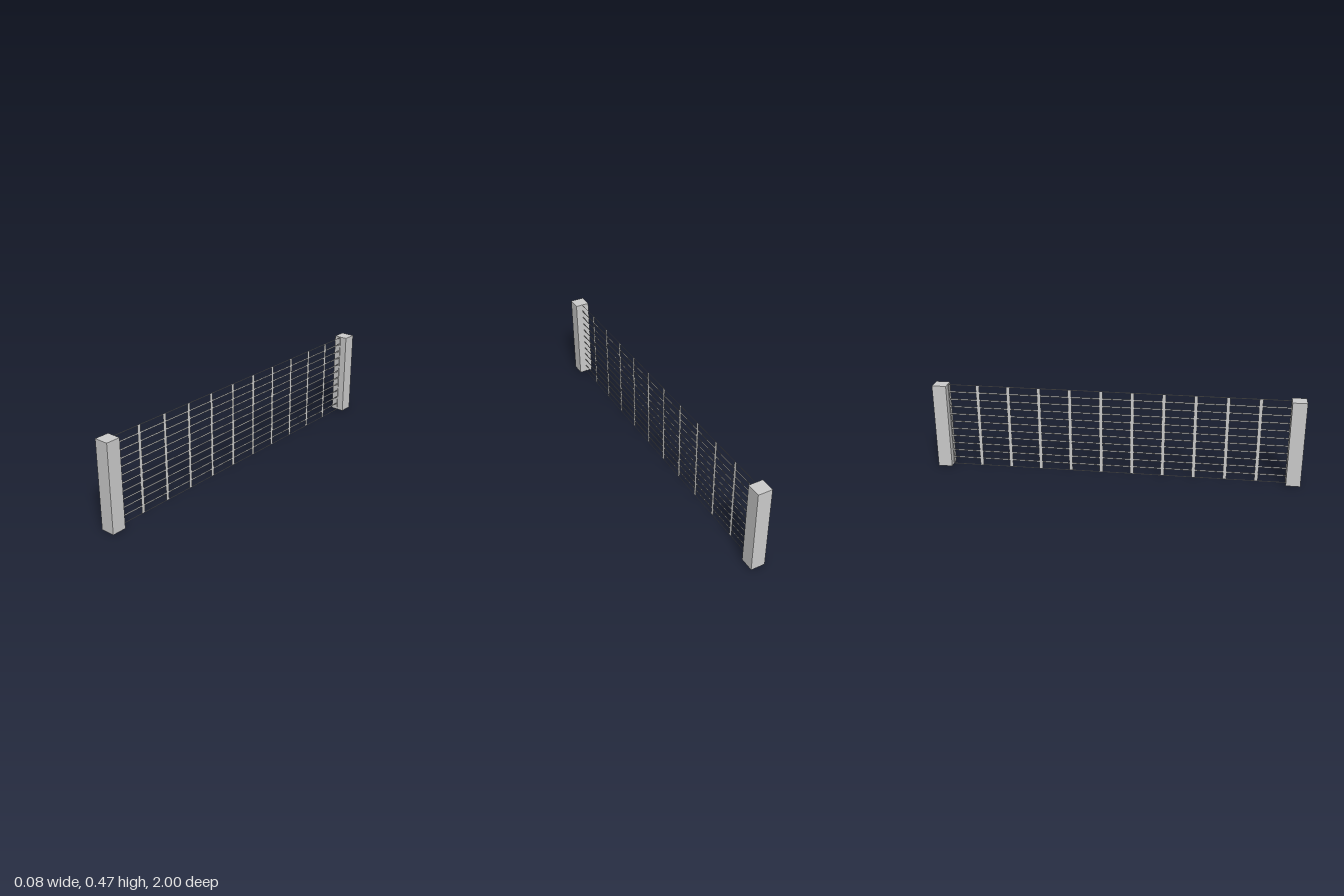
import * as THREE from 'three';

const HEIGHT = 0.475, POST = 0.077, SPAN = 2 - 2 * POST;
const solid = new THREE.MeshStandardMaterial({ color: 0xcccccc, flatShading: true });
const sheet = new THREE.MeshStandardMaterial({ color: 0xcccccc, side: THREE.DoubleSide });

// Flat strip in the x = 0 plane
function strip(name, length, height, y, z) {
  const mesh = new THREE.Mesh(new THREE.PlaneGeometry(length, height).rotateY(Math.PI / 2), sheet);
  mesh.name = name;
  mesh.position.set(0, y, z);
  return mesh;
}

export function createModel() {
  const fence = new THREE.Group();
  fence.name = 'wireFence';

  // Square end posts
  for (const side of [1, -1]) {
    const post = new THREE.Mesh(new THREE.BoxGeometry(POST, HEIGHT, POST), solid);
    post.name = side > 0 ? 'frontPost' : 'backPost';
    post.position.set(0, HEIGHT / 2, side * (1 - POST / 2));
    fence.add(post);
  }

  // Horizontal wires, the outer two trimmed flush with the post ends
  const wires = new THREE.Group();
  wires.name = 'wires';
  const rows = 11, wire = 0.008;
  for (let i = 0; i <= rows; i++) {
    const y = (HEIGHT * i) / rows;
    const low = Math.max(0, y - wire / 2), high = Math.min(HEIGHT, y + wire / 2);
    wires.add(strip('wire', SPAN, high - low, (low + high) / 2, 0));
  }
  fence.add(wires);

  // Upright slats, the last one set against the back post
  const slats = new THREE.Group();
  slats.name = 'slats';
  for (let i = 0; i < 11; i++) {
    slats.add(strip('slat', 0.019, HEIGHT, HEIGHT / 2, 0.766 - i * 0.1694));
  }
  fence.add(slats);

  return fence;
}
